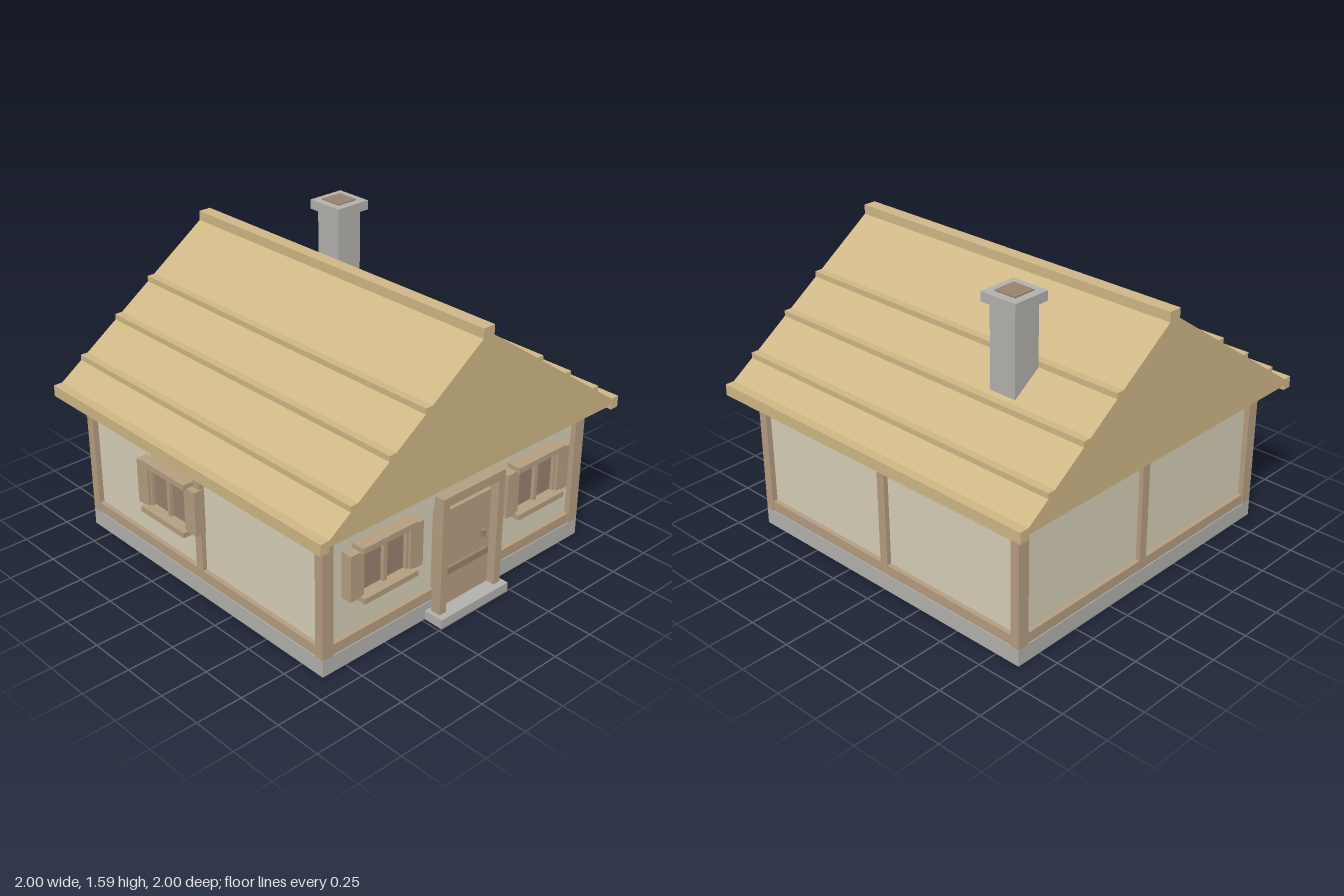
import * as THREE from 'three';

const mat = (color) => new THREE.MeshStandardMaterial({ color });

export function createModel() {
  const house = new THREE.Group();
  house.name = 'cottage';
  const straw = mat(0xd0b886), plaster = mat(0xd8d0b8), wood = mat(0xb69e82);
  const darkWood = mat(0x9a826e), stone = mat(0xb4b2ae);

  // Box given by its minimum and maximum corners
  function box(parent, name, material, x0, x1, y0, y1, z0, z1) {
    const mesh = new THREE.Mesh(new THREE.BoxGeometry(x1 - x0, y1 - y0, z1 - z0), material);
    mesh.position.set((x0 + x1) / 2, (y0 + y1) / 2, (z0 + z1) / 2);
    mesh.name = name;
    parent.add(mesh);
    return mesh;
  }

  // Walls and base
  box(house, 'foundation', stone, -0.89, 0.89, 0, 0.09, -0.89, 0.89);
  box(house, 'walls', plaster, -0.86, 0.86, 0.09, 0.776, -0.86, 0.86);
  box(house, 'sillBeam', wood, -0.885, 0.885, 0.09, 0.145, -0.885, 0.885);
  box(house, 'topPlate', wood, -0.894, 0.894, 0.725, 0.776, -0.894, 0.894);

  // Timber posts
  for (const sx of [-1, 1]) {
    for (const sz of [-1, 1]) {
      const post = box(house, 'cornerPost', wood, -0.0325, 0.0325, 0.09, 0.73, -0.025, 0.025);
      post.position.x = sx * 0.8575;
      post.position.z = sz * 0.865;
    }
    const mid = box(house, 'sidePost', wood, -0.02, 0.02, 0.14, 0.73, -0.024, 0.024);
    mid.position.x = sx * 0.865;
  }
  box(house, 'backPost', wood, -0.024, 0.024, 0.14, 0.73, -0.885, -0.845);

  // Roof: stepped half profile mirrored about the ridge, pulled along z
  const slopeY = (x) => 1.45 - 0.7 * (x - 0.035);
  const half = [[0.95, 0.776], [0.95, 0.75], [1, 0.75], [1, 0.81], [0.95, 0.81]];
  for (const x of [0.785, 0.56, 0.345]) {
    half.push([x + 0.042, slopeY(x + 0.042)], [x + 0.042, slopeY(x)], [x, slopeY(x)]);
  }
  half.push([0.035, 1.45], [0.035, 1.5]);
  const outline = [...half, ...half.map(([x, y]) => [-x, y]).reverse()];
  const roofShape = new THREE.Shape(outline.map(([x, y]) => new THREE.Vector2(x, y)));
  const roof = new THREE.Mesh(
    new THREE.ExtrudeGeometry(roofShape, { depth: 2, bevelEnabled: false }), straw);
  roof.position.z = -1;
  roof.name = 'roof';
  house.add(roof);

  // Chimney
  const chimney = new THREE.Group();
  chimney.name = 'chimney';
  chimney.position.set(0.465, 0, -0.465);
  box(chimney, 'chimneyStack', stone, -0.077, 0.077, 1.05, 1.54, -0.077, 0.077);
  box(chimney, 'chimneyCap', stone, -0.105, 0.105, 1.53, 1.58, -0.105, 0.105);
  box(chimney, 'flue', darkWood, -0.062, 0.062, 1.54, 1.586, -0.062, 0.062);
  house.add(chimney);

  // Door with frame, rail, handle and step
  const door = new THREE.Group();
  door.name = 'door';
  box(door, 'doorLeaf', wood, -0.17, 0.17, 0.04, 0.575, 0.85, 0.918);
  for (const s of [-1, 1]) {
    const jamb = box(door, 'doorJamb', wood, -0.0215, 0.0215, 0.04, 0.685, 0.908, 0.965);
    jamb.position.x = s * 0.19;
  }
  box(door, 'doorLintel', wood, -0.17, 0.17, 0.637, 0.685, 0.908, 0.965);
  box(door, 'doorRail', darkWood, -0.148, 0.148, 0.23, 0.265, 0.91, 0.935);
  box(door, 'doorHandle', darkWood, 0.1, 0.12, 0.34, 0.375, 0.91, 0.94);
  box(door, 'doorstep', stone, -0.233, 0.233, 0, 0.05, 0.88, 1);
  house.add(door);

  // Shuttered window facing +z, with z = 0 at the house centre
  function addWindow(name, x, z, turn) {
    const w = new THREE.Group();
    w.name = name;
    box(w, 'pane', darkWood, -0.145, 0.145, 0.35, 0.6, 0.85, 0.885);
    box(w, 'mullion', wood, -0.011, 0.011, 0.36, 0.6, 0.87, 0.905);
    for (const s of [-1, 1]) {
      const stile = box(w, 'windowStile', wood, -0.008, 0.008, 0.36, 0.6, 0.87, 0.905);
      stile.position.x = s * 0.142;
      const shutter = box(w, 'shutter', wood, -0.041, 0.041, 0.355, 0.597, 0.86, 0.92);
      shutter.position.x = s * 0.187;
    }
    box(w, 'windowLintel', wood, -0.17, 0.17, 0.592, 0.622, 0.86, 0.938);
    box(w, 'windowSill', wood, -0.17, 0.17, 0.333, 0.363, 0.86, 0.95);
    w.position.set(x, 0, z);
    w.rotation.y = turn;
    house.add(w);
  }
  addWindow('frontLeftWindow', 0.517, 0, 0);
  addWindow('frontRightWindow', -0.52, 0, 0);
  addWindow('sideWindow', 0, -0.2, -Math.PI / 2);

  return house;
}
